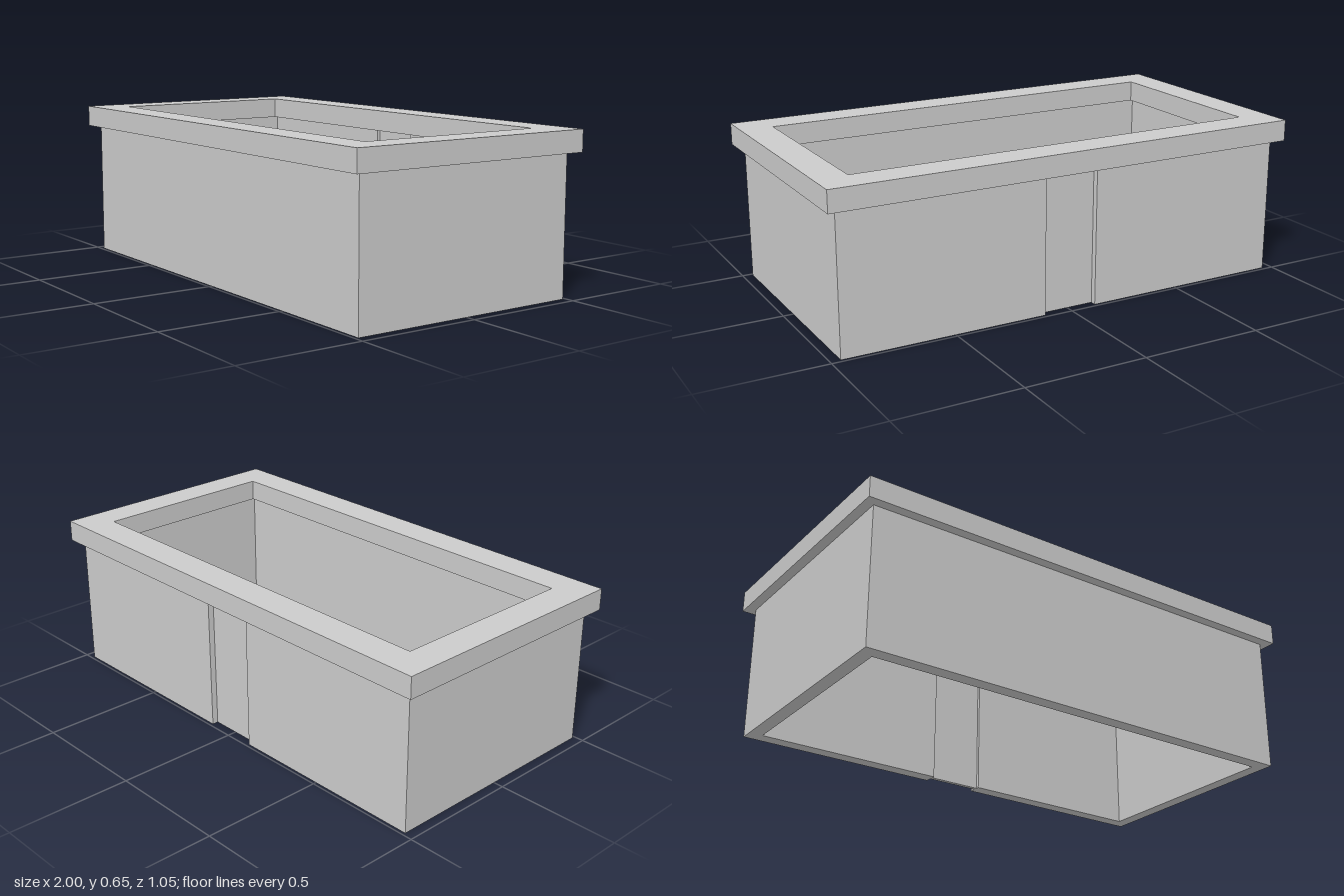
import * as THREE from 'three';

const material = new THREE.MeshStandardMaterial({ color: 0xcccccc, flatShading: true });

const RIM_BASE = 0.563, RIM_TOP = 0.65;
const WALL_X = 0.96, WALL_Z = 0.487, WALL = 0.055;
const GAP = 0.113; // half width of the opening in the back wall

// Corners of a centred rectangle
const rect = (x, y) => [[-x, -y], [x, -y], [x, y], [-x, y]];
const points = (list) => list.map(([x, y]) => new THREE.Vector2(x, y));

// Extrudes a plan outline (x, -z) upwards from y0 to y1
function addPlan(group, name, outline, y0, y1, hole) {
  const shape = new THREE.Shape(points(outline));
  if (hole) shape.holes.push(new THREE.Path(points(hole)));
  const geometry = new THREE.ExtrudeGeometry(shape, { depth: y1 - y0, bevelEnabled: false });
  geometry.rotateX(-Math.PI / 2).translate(0, y0, 0);
  const mesh = new THREE.Mesh(geometry, material);
  mesh.name = name;
  group.add(mesh);
}

export function createModel() {
  const group = new THREE.Group();
  group.name = 'planter';

  // Walls wrap around from one side of the back opening to the other
  const ix = WALL_X - WALL, iz = WALL_Z - WALL;
  addPlan(group, 'walls', [
    [-GAP, WALL_Z], [-WALL_X, WALL_Z], [-WALL_X, -WALL_Z],
    [WALL_X, -WALL_Z], [WALL_X, WALL_Z], [GAP, WALL_Z],
    [GAP, iz], [ix, iz], [ix, -iz], [-ix, -iz], [-ix, iz], [-GAP, iz],
  ], 0, RIM_BASE);

  // Thin panel closing the opening, set back from both wall faces
  addPlan(group, 'backPanel', [
    [-GAP, 0.445], [GAP, 0.445], [GAP, 0.462], [-GAP, 0.462],
  ], 0, RIM_BASE);

  // Flat rim overhanging the walls inside and out
  addPlan(group, 'rim', rect(1, 0.527), RIM_BASE, RIM_TOP, rect(0.868, 0.393));

  return group;
}
